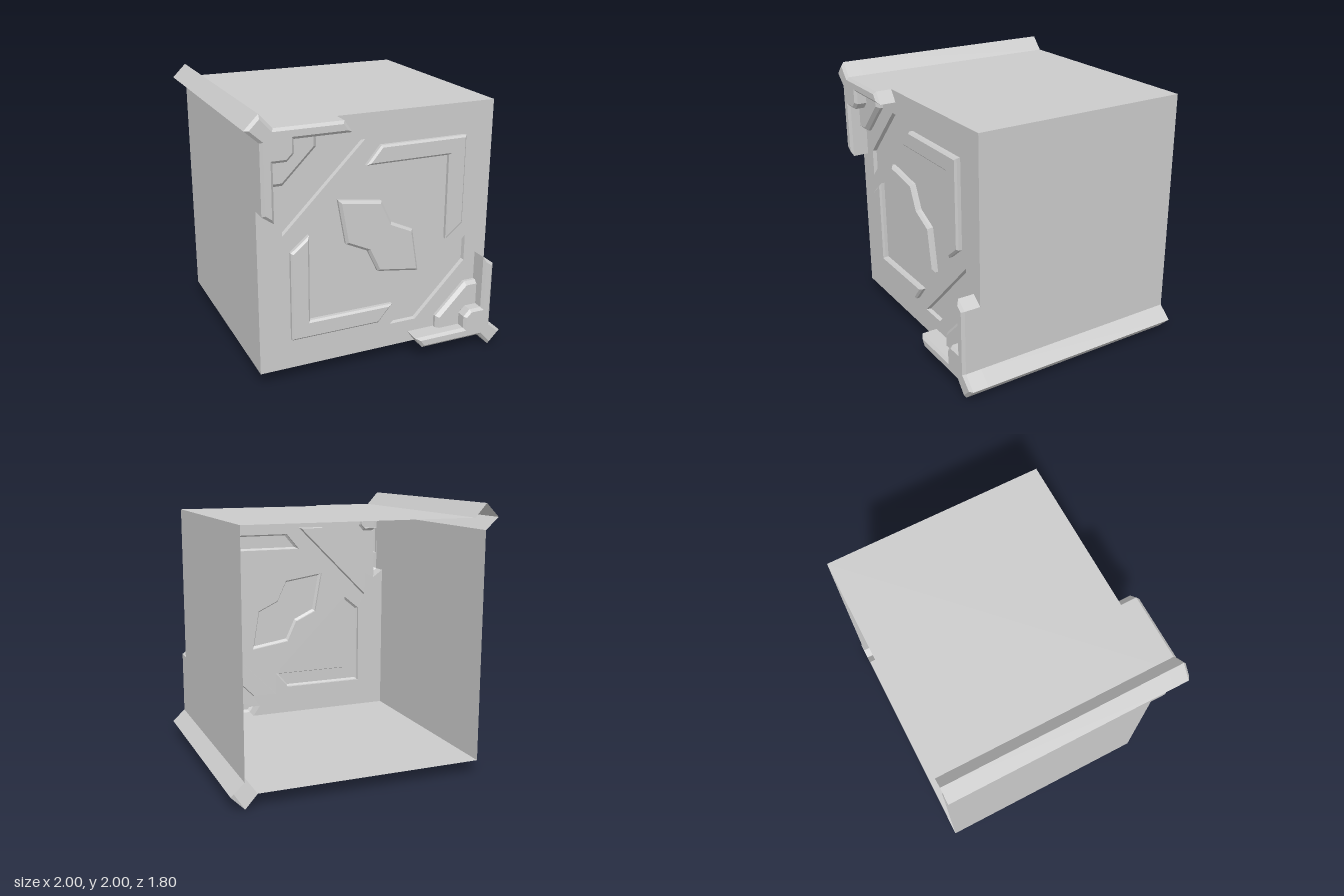
import * as THREE from 'three';

const material = new THREE.MeshStandardMaterial({ color: 0xcccccc, flatShading: true, side: THREE.DoubleSide });
const FACE = 0.76; // z of the front plate

// Half-turn about the centre of the front face
const turn = (pts) => pts.map(([x, y]) => [-x, 2 - y]);
const vectors = (pts) => pts.map(([x, y]) => new THREE.Vector2(x, y));
const ccw = (pts) => (THREE.ShapeUtils.isClockWise(vectors(pts)) ? [...pts].reverse() : pts);

// Mitred inward offset of a counter-clockwise outline
function inset(pts, d) {
  const n = pts.length;
  const normal = (a, b) => {
    const l = Math.hypot(b[0] - a[0], b[1] - a[1]);
    return [-(b[1] - a[1]) / l, (b[0] - a[0]) / l];
  };
  return pts.map((p, i) => {
    const a = normal(pts[(i + n - 1) % n], p);
    const b = normal(p, pts[(i + 1) % n]);
    const k = d / (1 + a[0] * b[0] + a[1] * b[1]);
    return [p[0] + (a[0] + b[0]) * k, p[1] + (a[1] + b[1]) * k];
  });
}

// Hollow shell through rings of { pts, z }, optionally closed at the last ring
function shell(name, rings, capped) {
  const pos = [];
  for (let r = 0; r + 1 < rings.length; r++) {
    const A = rings[r], B = rings[r + 1], n = A.pts.length;
    for (let i = 0; i < n; i++) {
      const j = (i + 1) % n;
      const a = [...A.pts[i], A.z], b = [...A.pts[j], A.z];
      const c = [...B.pts[j], B.z], d = [...B.pts[i], B.z];
      pos.push(...a, ...b, ...c, ...a, ...c, ...d);
    }
  }
  if (capped) {
    const { pts, z } = rings[rings.length - 1];
    for (const tri of THREE.ShapeUtils.triangulateShape(vectors(pts), [])) {
      for (const i of tri) pos.push(...pts[i], z);
    }
  }
  const geometry = new THREE.BufferGeometry();
  geometry.setAttribute('position', new THREE.Float32BufferAttribute(pos, 3));
  geometry.computeVertexNormals();
  const mesh = new THREE.Mesh(geometry, material);
  mesh.name = name;
  return mesh;
}

// Panel standing out from the plate with a bevelled rim
function raised(name, outline, height, bevel) {
  const pts = ccw(outline);
  return shell(name, [
    { pts, z: FACE },
    { pts, z: FACE + height - bevel },
    { pts: inset(pts, bevel), z: FACE + height },
  ], true);
}

export function createModel() {
  const group = new THREE.Group();

  // Open-backed case with a square ridge along two opposite edges
  const half = [[-0.9, 0.1], [0.81, 0.1], [0.9, 0], [1, 0.1], [0.9, 0.19]];
  const caseOutline = [...half, ...turn(half)];
  group.add(shell('caseWalls', [{ pts: caseOutline, z: -0.9 }, { pts: caseOutline, z: FACE }], false));

  // Inner edge of a corner bracket, shared with the front plate
  const innerEdge = [[0.32, 0.1], [0.26, 0.185], [0.67, 0.185], [0.67, 0.28],
    [0.72, 0.33], [0.815, 0.33], [0.815, 0.74], [0.9, 0.68]];
  const bracket = [...innerEdge, [0.9, 0.19], [1, 0.1], [0.9, 0], [0.81, 0.1]];

  const angle = [[-0.11, 1.54], [0, 1.67], [0.67, 1.67], [0.67, 1.01], [0.535, 0.9], [0.535, 1.54]];
  const strip = [[0.11, 0.28], [0.32, 0.28], [0.72, 0.69], [0.72, 0.89]];
  const centre = [[-0.32, 1.32], [0.01, 1.27], [0.09, 1.1], [0.26, 1.02],
    [0.315, 0.69], [-0.01, 0.74], [-0.09, 0.91], [-0.26, 0.99]];
  // The step reaches just under the bracket rim
  const step = [[0.48, 0.16], [0.48, 0.28], [0.72, 0.52], [0.84, 0.52], [0.84, 0.305],
    [0.73, 0.305], [0.695, 0.27], [0.695, 0.16]];

  // Front plate, cut away behind each panel and bracket
  const plate = new THREE.Shape(vectors([...innerEdge, [0.9, 1.9], ...turn(innerEdge), [-0.9, 0.1]]));
  for (const hole of [centre, angle, turn(angle), strip, turn(strip)]) {
    plate.holes.push(new THREE.Path(vectors(hole)));
  }
  const front = new THREE.Mesh(new THREE.ShapeGeometry(plate), material);
  front.name = 'frontPlate';
  front.position.z = FACE;
  group.add(front);

  group.add(raised('centrePanel', centre, 0.04, 0.018));

  // Paired details, repeated on the opposite corner
  for (const [suffix, place] of [['One', (p) => p], ['Two', turn]]) {
    group.add(raised('cornerBracket' + suffix, place(bracket), 0.14, 0.02));
    group.add(raised('cornerStep' + suffix, place(step), 0.05, 0.025));
    group.add(raised('anglePanel' + suffix, place(angle), 0.04, 0.014));
    const pts = ccw(place(strip));
    group.add(shell('recessedStrip' + suffix, [
      { pts, z: FACE },
      { pts: inset(pts, 0.006), z: FACE - 0.03 },
    ], true));
  }
  return group;
}
